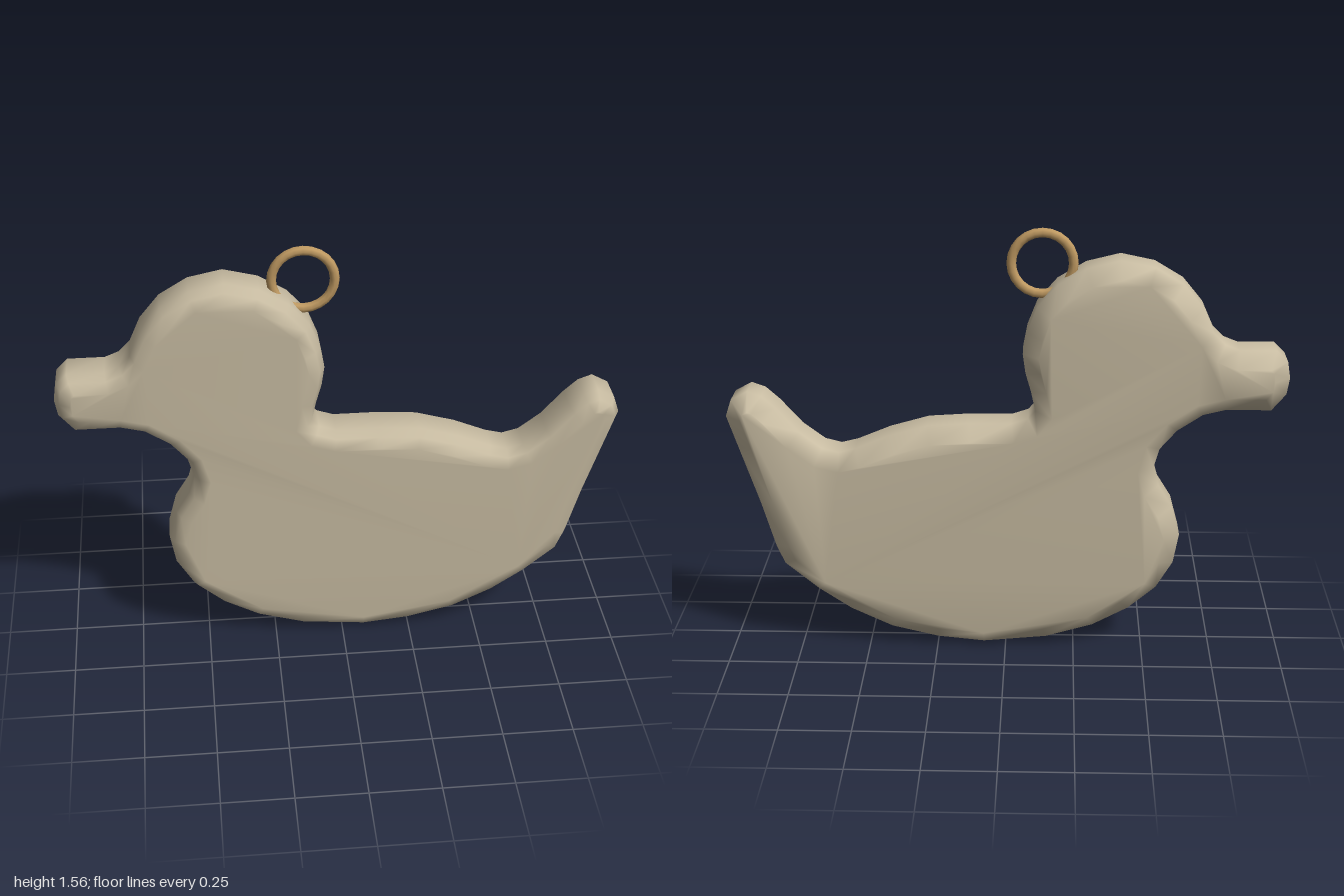
import * as THREE from 'three';

// Duck outline, counter-clockwise from the top of the bill
const OUTLINE = [
  [-0.95, 1.14], [-0.99, 1.1], [-1, 1.04], [-0.99, 0.98], [-0.94, 0.92], [-0.88, 0.92],      // bill
  [-0.78, 0.92], [-0.7, 0.9], [-0.61, 0.84], [-0.55, 0.77], [-0.53, 0.7], [-0.55, 0.63],     // throat
  [-0.6, 0.55], [-0.63, 0.44], [-0.61, 0.33], [-0.55, 0.23], [-0.45, 0.145], [-0.32, 0.075], // breast
  [-0.15, 0.025], [0.08, 0.003], [0.25, 0.02], [0.42, 0.06], [0.57, 0.13], [0.69, 0.21],     // belly
  [0.81, 0.31], [0.84, 0.38], [0.89, 0.55], [0.96, 0.76], [1, 0.88], [0.98, 0.94],           // tail
  [0.92, 0.973], [0.87, 0.955], [0.82, 0.91], [0.74, 0.82], [0.66, 0.76], [0.6, 0.745],
  [0.54, 0.76], [0.42, 0.81], [0.28, 0.85], [0.13, 0.86], [-0.02, 0.86], [-0.08, 0.88],      // back
  [-0.105, 0.91], [-0.09, 0.98], [-0.07, 1.05], [-0.06, 1.12], [-0.075, 1.2], [-0.11, 1.29], // head
  [-0.18, 1.37], [-0.28, 1.43], [-0.4, 1.46], [-0.52, 1.435], [-0.62, 1.375], [-0.69, 1.29],
  [-0.73, 1.2], [-0.77, 1.16], [-0.82, 1.14],
].map(([x, y]) => new THREE.Vector2(x, y));

// Edge profile from back to front: [z, inset]; plain chamfer behind, rounder in front
const PROFILE = [[-0.11, 0.056], [-0.055, 0], [0.055, 0], [0.092, 0.018], [0.11, 0.056]];

// Moves every outline point inwards along its mitred normal
function inset(points, d) {
  const n = points.length;
  return points.map((p, i) => {
    const a = p.clone().sub(points[(i + n - 1) % n]).normalize();
    const b = points[(i + 1) % n].clone().sub(p).normalize();
    const normal = new THREE.Vector2(-a.y - b.y, a.x + b.x).normalize();
    const mitre = Math.max(0.6, normal.dot(new THREE.Vector2(-a.y, a.x)));
    return p.clone().addScaledVector(normal, d / mitre);
  });
}

// Bevelled slab with shared vertices so the shading rolls over the rim
function slabGeometry() {
  const n = OUTLINE.length;
  const positions = [];
  const index = [];
  for (const [z, d] of PROFILE) {
    for (const p of inset(OUTLINE, d)) positions.push(p.x, p.y, z);
  }
  for (let r = 0; r < PROFILE.length - 1; r++) {
    for (let i = 0; i < n; i++) {
      const j = (i + 1) % n;
      const a = r * n + i, b = r * n + j, c = a + n, d = b + n;
      index.push(a, b, d, a, d, c);
    }
  }
  // Flat sides
  const last = (PROFILE.length - 1) * n;
  for (const [a, b, c] of THREE.ShapeUtils.triangulateShape(inset(OUTLINE, 0.056), [])) {
    index.push(a, c, b, last + a, last + b, last + c);
  }
  const geometry = new THREE.BufferGeometry();
  geometry.setAttribute('position', new THREE.Float32BufferAttribute(positions, 3));
  geometry.setIndex(index);
  geometry.computeVertexNormals();
  return geometry;
}

export function createModel() {
  const clay = new THREE.MeshStandardMaterial({ color: 0xc8bca2 });
  clay.name = 'clay';
  const brass = new THREE.MeshStandardMaterial({ color: 0xc09a62 });
  brass.name = 'brass';

  const model = new THREE.Group();
  model.name = 'duckPendant';

  const body = new THREE.Mesh(slabGeometry(), clay);
  body.name = 'duckBody';
  model.add(body);

  // Hanging ring through the back of the head
  const ring = new THREE.Mesh(new THREE.TorusGeometry(0.109, 0.017, 8, 24), brass);
  ring.name = 'hangingRing';
  ring.position.set(-0.127, 1.435, 0);
  model.add(ring);

  return model;
}
